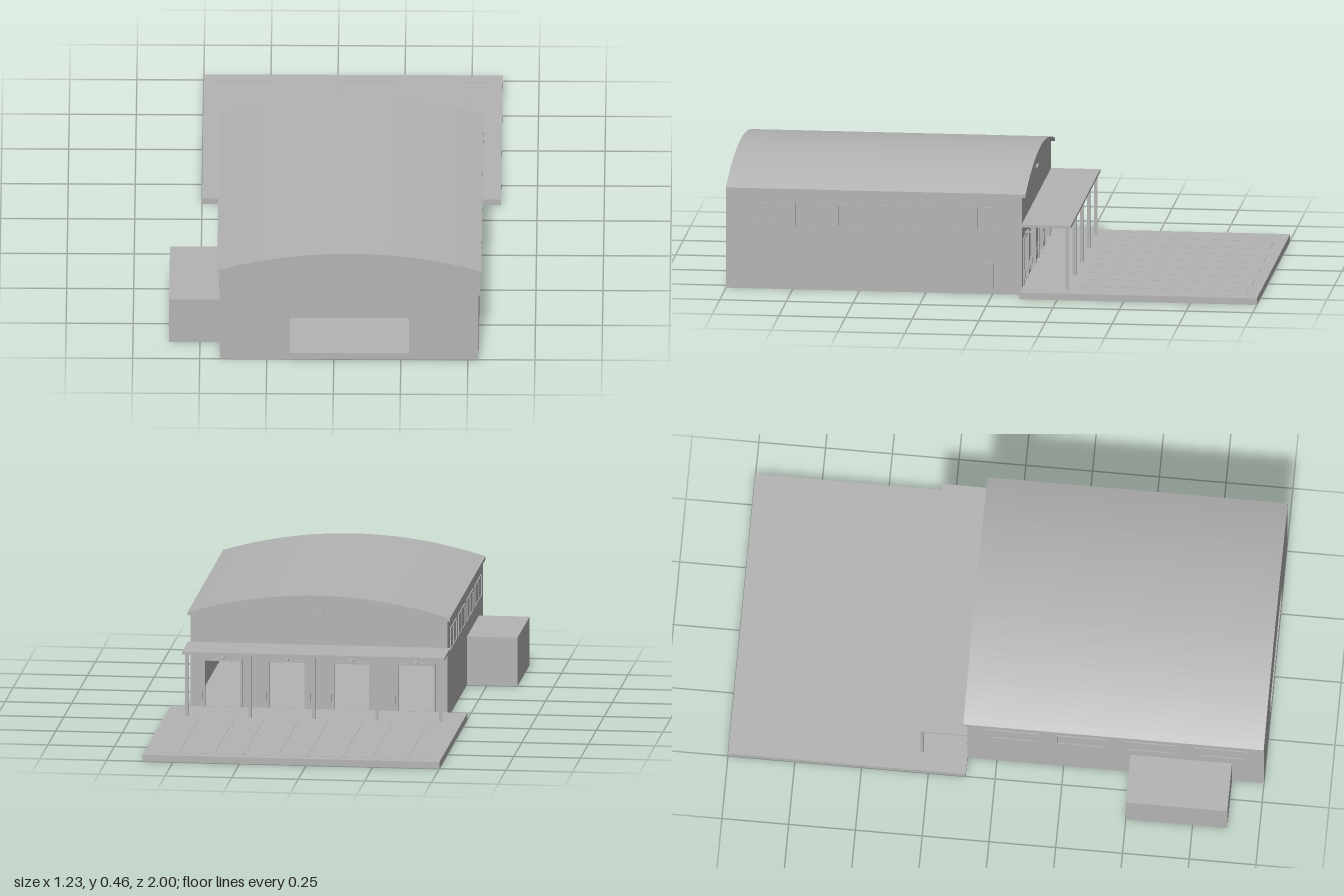
import * as THREE from 'three';

const concrete = new THREE.MeshStandardMaterial({ color: 0xb4b4b4 });
concrete.name = 'light grey';

// Main hall extents
const X0 = -0.425, X1 = 0.54, CX = 0.0575, Z0 = -0.11, Z1 = 1.0;
const FLOOR = 0.025, WALL = 0.012, ROOF = 0.012;
// Roof arc
const R = 1.654, CY = 0.46 - R;
const arcY = (x, r) => CY + Math.sqrt(r * r - (x - CX) ** 2);

export function createModel() {
  const model = new THREE.Group();
  model.name = 'warehouse';

  const add = (name, geometry, parent = model) => {
    const mesh = new THREE.Mesh(geometry, concrete);
    mesh.name = name;
    parent.add(mesh);
    return mesh;
  };
  // Box given by its minimum and maximum corners
  const box = (name, x0, x1, y0, y1, z0, z1, parent) => {
    const mesh = add(name, new THREE.BoxGeometry(x1 - x0, y1 - y0, z1 - z0), parent);
    mesh.position.set((x0 + x1) / 2, (y0 + y1) / 2, (z0 + z1) / 2);
    return mesh;
  };
  const arcPoints = (x0, x1, r, n = 32) =>
    Array.from({ length: n + 1 }, (_, i) => {
      const x = x0 + ((x1 - x0) * i) / n;
      return new THREE.Vector2(x, arcY(x, r));
    });
  const rectHole = (x0, x1, y0, y1) =>
    new THREE.Path().setFromPoints([
      new THREE.Vector2(x0, y0), new THREE.Vector2(x0, y1),
      new THREE.Vector2(x1, y1), new THREE.Vector2(x1, y0),
    ]);

  // Ground slabs
  box('floorSlab', X0, X1, 0, FLOOR, Z0, Z1);
  box('loadingApron', -0.5, 0.615, 0, FLOOR, -1, Z0);

  // Arched end walls with openings
  const endWall = (name, z, holes) => {
    const shape = new THREE.Shape([
      new THREE.Vector2(X1, FLOOR), ...arcPoints(X0, X1, R - ROOF).reverse(),
      new THREE.Vector2(X0, FLOOR),
    ]);
    shape.holes = holes;
    const wall = add(name, new THREE.ExtrudeGeometry(shape, { depth: WALL, bevelEnabled: false }));
    wall.position.z = z;
  };
  const bays = [0.42, 0.178, -0.065, -0.307];
  const half = 0.066, doorTop = 0.2;
  endWall('frontWall', Z1 - WALL, [rectHole(-0.165, 0.28, FLOOR + 0.001, 0.18)]);
  endWall('rearWall', Z0, bays.map((x) => rectHole(x - half, x + half, FLOOR + 0.001, doorTop)));

  // Side walls
  const wallTop = arcY(X0, R - ROOF);
  box('rightWall', X0, X0 + WALL, FLOOR, wallTop, Z0 + WALL, Z1 - WALL);
  box('leftWall', X1 - WALL, X1, FLOOR, wallTop, Z0 + WALL, Z1 - WALL);

  // Curved roof shell with a small overhang
  const roofShape = new THREE.Shape([
    ...arcPoints(-0.435, 0.55, R - ROOF),
    ...arcPoints(-0.435, 0.55, R).reverse(),
  ]);
  const roof = add('roof', new THREE.ExtrudeGeometry(roofShape, { depth: 1.125, bevelEnabled: false }));
  roof.position.z = -0.125;

  // Side annexe
  box('annexe', -0.615, X0, 0, 0.185, 0.5, 0.88);

  // Framed panel on a side wall: thin pane with raised border bars
  const sidePanel = (name, side, z0, z1, y0, y1, mullion) => {
    const group = new THREE.Group();
    group.name = name;
    model.add(group);
    const bar = (part, a, b, c, d, t) => {
      const face = side > 0 ? X1 : X0;
      box(part, Math.min(face, face + side * t), Math.max(face, face + side * t), c, d, a, b, group);
    };
    const w = 0.006, t = 0.004;
    bar('pane', z0 + w, z1 - w, y0 + w, y1 - w, 0.001);
    bar('sill', z0, z1, y0, y0 + w, t);
    bar('head', z0, z1, y1 - w, y1, t);
    bar('jamb', z0, z0 + w, y0 + w, y1 - w, t);
    bar('jamb', z1 - w, z1, y0 + w, y1 - w, t);
    if (mullion) bar('mullion', (z0 + z1 - w) / 2, (z0 + z1 + w) / 2, y0 + w, y1 - w, t);
  };
  for (const side of [-1, 1]) {
    for (let i = 0; i < 4; i++) {
      const z = -0.04 + i * 0.26;
      sidePanel('window', side, z, z + 0.2, 0.245, 0.33, true);
    }
  }
  sidePanel('sideDoor', 1, -0.003, 0.06, FLOOR, 0.12, false);

  // Rear canopy on five posts
  box('canopy', -0.435, 0.55, 0.26, 0.27, -0.295, Z0);
  for (let i = 0; i < 5; i++) {
    const x = 0.534 - i * 0.2385;
    box('canopyPost', x - 0.006, x + 0.006, FLOOR, 0.26, -0.286, -0.274);
  }

  // Loading door trim, bumpers and lamps
  for (const x of bays) {
    for (const s of [-1, 1]) {
      const e = x + s * (half + 0.004);
      box('doorJamb', e - 0.004, e + 0.004, FLOOR, doorTop, Z0 - 0.005, Z0);
      const b = x + s * (half + 0.016);
      box('dockBumper', b - 0.006, b + 0.006, 0.055, 0.085, Z0 - 0.008, Z0);
    }
    box('doorHead', x - half - 0.008, x + half + 0.008, doorTop, doorTop + 0.008, Z0 - 0.005, Z0);
    box('doorLamp', x - 0.008, x + 0.008, 0.212, 0.217, Z0 - 0.03, Z0);
  }
  box('gableLamp', CX - 0.02, CX + 0.02, 0.385, 0.391, Z0 - 0.008, Z0);

  // Thin lane lines on the apron
  for (const x of bays) {
    for (const s of [-1, 1]) {
      const c = x + s * half;
      box('laneLine', c - 0.003, c + 0.003, FLOOR, FLOOR + 0.001, -0.95, -0.32);
    }
  }
  box('stopLine', -0.45, 0.56, FLOOR, FLOOR + 0.001, -0.956, -0.95);

  return model;
}
